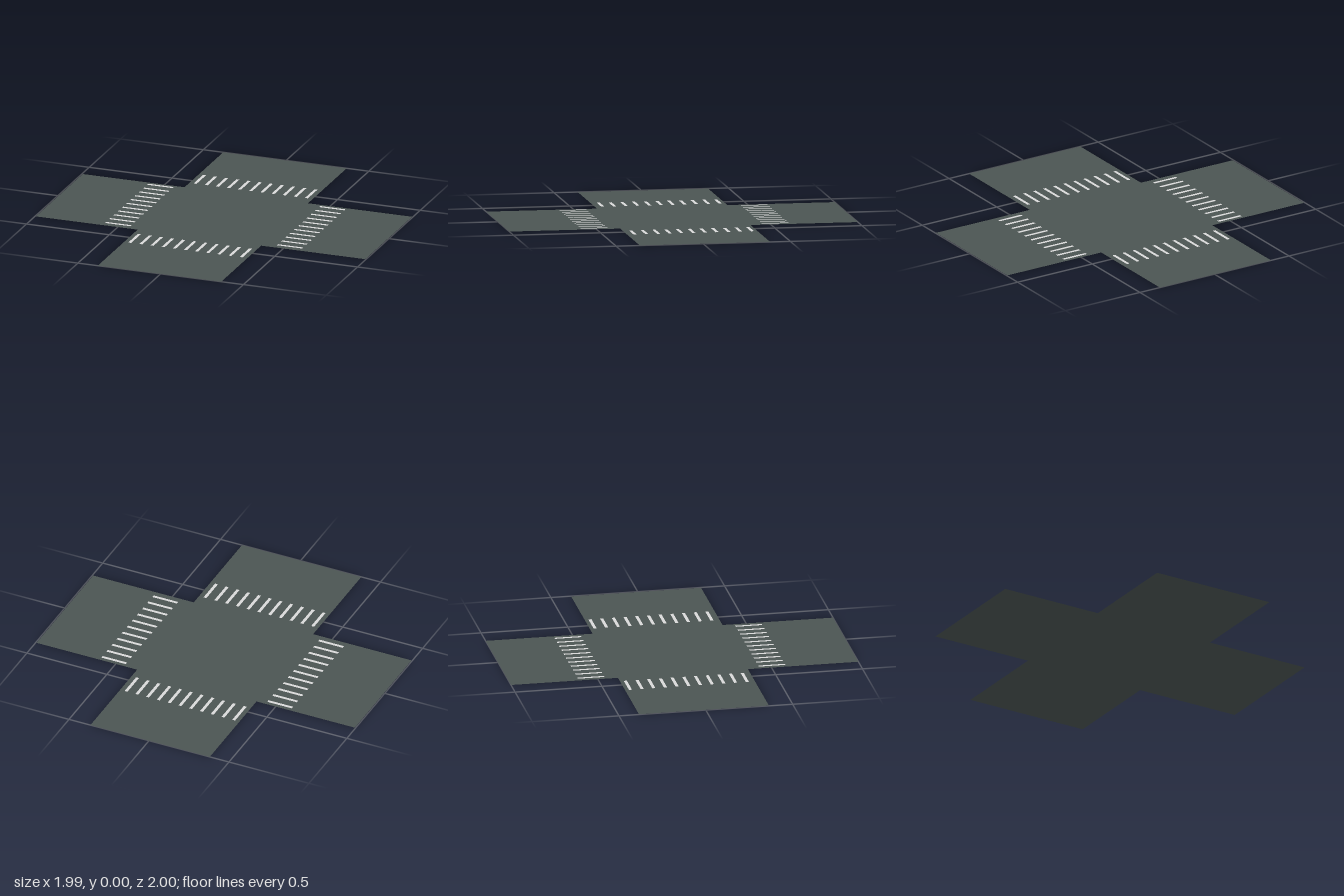
import * as THREE from 'three';

export function createModel() {
  const group = new THREE.Group();
  group.name = 'crossroads';
  const asphalt = new THREE.MeshStandardMaterial({ color: 0x4b5452, side: THREE.DoubleSide });
  asphalt.name = 'asphalt grey';
  const paint = new THREE.MeshStandardMaterial({ color: 0xd8d8d8, side: THREE.DoubleSide });
  paint.name = 'road paint white';

  // Cross-shaped road surface, a single sheet without thickness (shape y is -z)
  const left = -0.38, right = 0.366, back = -0.384, front = 0.364, endX = 0.995, endZ = 1;
  const outline = [
    [left, -endZ], [right, -endZ], [right, back], [endX, back], [endX, front], [right, front],
    [right, endZ], [left, endZ], [left, front], [-endX, front], [-endX, back], [left, back],
  ].map(([x, z]) => new THREE.Vector2(x, -z));
  const roadGeometry = new THREE.ShapeGeometry(new THREE.Shape(outline)).rotateX(-Math.PI / 2);
  const road = new THREE.Mesh(roadGeometry, asphalt);
  road.name = 'roadSurface';
  group.add(road);

  // Crossings: eleven painted bars, each running along its own road
  const bars = 11, step = 0.0673, barWidth = 0.018, barLength = 0.153, lift = 0.001;
  function addCrossing(name, x, z, alongX) {
    const crossing = new THREE.Group();
    crossing.name = name;
    const bar = new THREE.PlaneGeometry(alongX ? barLength : barWidth, alongX ? barWidth : barLength)
      .rotateX(-Math.PI / 2);
    for (let i = 0; i < bars; i++) {
      const offset = (i - (bars - 1) / 2) * step;
      const mesh = new THREE.Mesh(bar, paint);
      mesh.name = 'crossingBar';
      mesh.position.set(alongX ? 0 : offset, 0, alongX ? offset : 0);
      crossing.add(mesh);
    }
    crossing.position.set(x, lift, z);
    group.add(crossing);
  }
  addCrossing('backCrossing', -0.008, -0.533, false);
  addCrossing('frontCrossing', -0.008, 0.508, false);
  addCrossing('rightCrossing', -0.514, -0.017, true);
  addCrossing('leftCrossing', 0.524, -0.017, true);

  return group;
}
